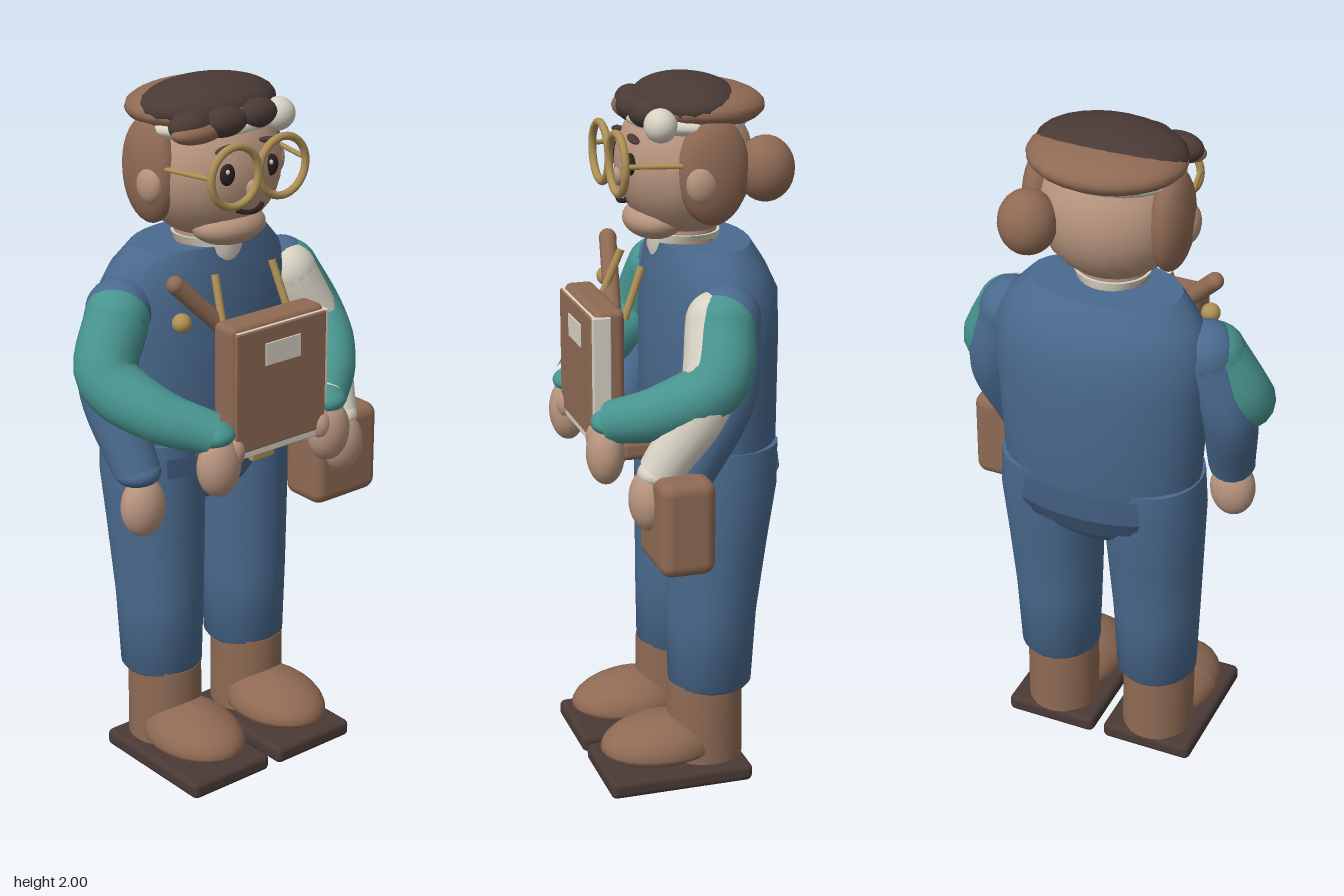
import * as THREE from 'three';
import { toCreasedNormals } from 'three/addons/utils/BufferGeometryUtils.js';
import { RoundedBoxGeometry } from 'three/addons/geometries/RoundedBoxGeometry.js';

const material = (name, color) => {
  const m = new THREE.MeshStandardMaterial({ color });
  m.name = name;
  return m;
};

export function createModel() {
  const model = new THREE.Group();
  model.name = 'figure';
  model.position.x = -0.007;

  const blue = material('denim blue', 0x4a6a8e);
  const navy = material('dark denim', 0x3f5a7a);
  const teal = material('teal', 0x48948f);
  const brown = material('leather brown', 0x8f6a54);
  const dark = material('dark brown', 0x4a3a36);
  const skin = material('skin', 0xb8957f);
  const cream = material('cream', 0xd8d2c4);
  const gold = material('brass', 0xae9055);
  const black = material('near black', 0x2c2220);
  navy.side = THREE.DoubleSide;

  const add = (name, geometry, mat, x = 0, y = 0, z = 0) => {
    const mesh = new THREE.Mesh(geometry, mat);
    mesh.name = name;
    mesh.position.set(x, y, z);
    model.add(mesh);
    return mesh;
  };
  const ball = (name, mat, [x, y, z], [rx, ry, rz]) =>
    add(name, new THREE.SphereGeometry(1, 24, 16).scale(rx, ry, rz), mat, x, y, z);
  const box = (name, mat, [x, y, z], [w, h, d], r = 0.01) =>
    add(name, new RoundedBoxGeometry(w, h, d, 3, r), mat, x, y, z);
  const vec = (p) => new THREE.Vector3(...p);

  // Stack of elliptical sections: [y, centre z, radius x, radius z]
  const loft = (name, mat, sections, x = 0) => {
    const n = sections.length - 1;
    const g = new THREE.CylinderGeometry(1, 1, 1, 28, n);
    const p = g.attributes.position;
    for (let i = 0; i < p.count; i++) {
      const [y, cz, rx, rz] = sections[Math.round((p.getY(i) + 0.5) * n)];
      p.setXYZ(i, p.getX(i) * rx, y, cz + p.getZ(i) * rz);
    }
    return add(name, toCreasedNormals(g, 0.7), mat, x);
  };

  // Tapered, bent tube with rounded ends
  const limb = (name, mat, points, r0, r1, r2) => {
    const curve = new THREE.CatmullRomCurve3(points.map(vec));
    const n = 20, sides = 16;
    const g = new THREE.TubeGeometry(curve, n, 1, sides);
    const p = g.attributes.position, v = new THREE.Vector3();
    for (let i = 0; i < p.count; i++) {
      const t = Math.floor(i / (sides + 1)) / n;
      const r = t < 0.5 ? r0 + (r1 - r0) * t * 2 : r1 + (r2 - r1) * (t * 2 - 1);
      const c = curve.getPointAt(t);
      v.fromBufferAttribute(p, i).sub(c).multiplyScalar(r).add(c);
      p.setXYZ(i, v.x, v.y, v.z);
    }
    add(name, g, mat);
    ball(name + 'Top', mat, points[0], [r0, r0, r0]);
    ball(name + 'End', mat, points[points.length - 1], [r2, r2 * 0.6, r2]);
  };
  const rod = (name, mat, a, b, r) =>
    add(name, new THREE.TubeGeometry(new THREE.LineCurve3(vec(a), vec(b)), 1, r, 10), mat);

  // Shoes, boots and trouser legs
  for (const s of [-1, 1]) {
    const x = s * 0.155;
    box('sole', dark, [x, 0.031, 0.05], [0.278, 0.052, 0.42], 0.018);
    // The lower half of the shoe is flattened onto the sole
    const shoe = new THREE.SphereGeometry(1, 24, 16).scale(0.13, 0.09, 0.172);
    const p = shoe.attributes.position;
    for (let i = 0; i < p.count; i++) {
      const lift = p.getY(i) > 0 ? 1 - p.getZ(i) * 0.8 : 0.5;
      p.setY(i, p.getY(i) * lift);
    }
    shoe.computeVertexNormals();
    add('shoe', shoe, brown, x, 0.098, 0.08);
    loft('boot', brown, [[0.055, -0.055, 0.105, 0.11], [0.29, -0.055, 0.105, 0.108]], x);
    loft('trouserLeg', blue, [
      [0.275, -0.07, 0.108, 0.112], [0.285, -0.07, 0.116, 0.12], [0.5, -0.075, 0.126, 0.128],
      [0.72, -0.09, 0.138, 0.143], [0.88, -0.102, 0.147, 0.156], [1.0, -0.105, 0.14, 0.155],
    ], x);
  }

  // Hips and torso
  ball('hips', blue, [0, 0.95, -0.11], [0.29, 0.2, 0.175]);
  loft('torso', blue, [
    [0.94, -0.11, 0.28, 0.165], [1.0, -0.11, 0.29, 0.18], [1.3, -0.11, 0.308, 0.18],
    [1.42, -0.11, 0.305, 0.176], [1.49, -0.098, 0.275, 0.155], [1.55, -0.083, 0.217, 0.132],
  ]);
  const band = (name, y, h, start, length, rx, rz, taper) =>
    add(name, new THREE.CylinderGeometry(1, taper, h, 16, 1, true, start, length).scale(rx, 1, rz), navy, 0, y, -0.105);
  band('waistFlap', 0.938, 0.06, -0.7, 1.4, 0.34, 0.198, 0.98);
  band('backFlapUpper', 0.945, 0.07, Math.PI - 0.6, 1.2, 0.3, 0.184, 1.05);
  band('backFlapLower', 0.885, 0.05, Math.PI - 0.6, 1.2, 0.315, 0.193, 0.9);

  // Neck and collar
  loft('neck', skin, [[1.5, -0.04, 0.1, 0.09], [1.64, -0.04, 0.1, 0.09]]);
  loft('collar', cream, [[1.49, -0.035, 0.07, 0.085], [1.53, -0.035, 0.085, 0.098], [1.575, -0.04, 0.108, 0.098]]);

  // Hanging sleeves and folded sleeves sharing the same shoulders
  for (const s of [-1, 1]) {
    limb('hangingSleeve', blue, [[s * 0.288, 1.39, -0.07], [s * 0.347, 1.2, -0.052], [s * 0.325, 0.965, 0.05]], 0.092, 0.078, 0.066);
    limb('foldedSleeve', teal, [[s * 0.302, 1.383, -0.058], [s * 0.374, 1.24, -0.015], [s * 0.315, 1.155, 0.115], [s * 0.2, 1.1, 0.225]], 0.09, 0.084, 0.06);
    ball('foldedHand', skin, [s * 0.197, 1.013, 0.245], [0.066, 0.088, 0.052]);
    ball('thumb', skin, [s * 0.155, 1.045, 0.262], [0.03, 0.04, 0.025]);
  }
  ball('hangingHand', skin, [-0.322, 0.868, 0.07], [0.066, 0.088, 0.055]);
  limb('creamSleeve', cream, [[0.29, 1.385, -0.04], [0.365, 1.2, 0.01], [0.33, 0.99, 0.13]], 0.084, 0.08, 0.062);
  ball('bagHand', skin, [0.325, 0.914, 0.16], [0.068, 0.087, 0.055]);
  box('sideBag', brown, [0.352, 0.865, 0.088], [0.235, 0.27, 0.155], 0.035);

  // Book with label
  box('bookBack', brown, [0.0, 1.218, 0.218], [0.328, 0.365, 0.085], 0.02);
  box('pages', cream, [0.01, 1.203, 0.243], [0.322, 0.365, 0.052], 0.004);
  box('bookCover', brown, [0.0, 1.212, 0.267], [0.318, 0.345, 0.012], 0.005);
  box('label', cream, [0.003, 1.308, 0.2735], [0.125, 0.065, 0.005], 0.002);

  // Belt pouch, buckle, straps and baton
  box('beltPouch', brown, [0.01, 0.995, 0.12], [0.3, 0.06, 0.13], 0.02);
  box('buckle', gold, [0, 0.992, 0.19], [0.08, 0.055, 0.02], 0.005);
  for (const s of [-1, 1]) rod('strap', gold, [s * 0.1, 1.5, 0.11], [s * 0.115, 1.36, 0.165], 0.011);
  rod('baton', brown, [-0.235, 1.5, 0.11], [-0.02, 1.28, 0.155], 0.025);
  ball('batonEnd', brown, [-0.235, 1.5, 0.11], [0.025, 0.025, 0.025]);
  ball('button', gold, [-0.222, 1.392, 0.12], [0.027, 0.027, 0.027]);

  // Head, ears and chin
  ball('head', skin, [0, 1.76, -0.04], [0.207, 0.2, 0.19]);
  ball('chin', skin, [0, 1.608, 0.045], [0.112, 0.055, 0.085]);
  ball('nose', skin, [0, 1.73, 0.145], [0.022, 0.026, 0.022]);
  for (const s of [-1, 1]) {
    ball('ear', skin, [s * 0.212, 1.742, -0.025], [0.03, 0.055, 0.045]);
    ball('sideHair', brown, [s * 0.18, 1.768, -0.065], [0.056, 0.148, 0.1]);
    ball('eye', black, [s * 0.075, 1.777, 0.132], [0.024, 0.03, 0.014]);
    ball('eyeGlint', cream, [s * 0.075 - 0.008, 1.788, 0.143], [0.006, 0.007, 0.005]);
    const brow = ball('eyebrow', dark, [s * 0.075, 1.845, 0.125], [0.036, 0.009, 0.014]);
    brow.rotation.z = -s * 0.15;
    // Spectacles
    add('lensRim', new THREE.TorusGeometry(0.081, 0.011, 10, 32), gold, s * 0.082, 1.782, 0.172);
    rod('temple', gold, [s * 0.162, 1.79, 0.172], [s * 0.205, 1.79, -0.02], 0.007);
  }
  const smile = new THREE.QuadraticBezierCurve3(vec([-0.045, 1.675, 0.132]), vec([0, 1.652, 0.155]), vec([0.045, 1.675, 0.132]));
  add('mouth', new THREE.TubeGeometry(smile, 12, 0.007, 8), black);

  // Hair: dark crown over a brown rim, headband, fringe and bun
  ball('headband', cream, [0, 1.885, -0.045], [0.203, 0.05, 0.165]);
  ball('hairRim', brown, [0, 1.92, -0.075], [0.217, 0.062, 0.183]);
  ball('hairCrown', dark, [0, 1.93, -0.045], [0.21, 0.07, 0.145]);
  for (const [x, y, z] of [[-0.14, 1.908, 0.065], [-0.05, 1.908, 0.088], [0.055, 1.912, 0.085]])
    ball('fringe', dark, [x, y, z], [0.072, 0.042, 0.045]);
  ball('fringeUnderside', brown, [-0.13, 1.892, 0.078], [0.085, 0.032, 0.042]);
  ball('creamCurl', cream, [0.15, 1.892, 0.072], [0.05, 0.046, 0.045]);
  ball('bun', brown, [0.162, 1.762, -0.218], [0.08, 0.09, 0.08]);

  return model;
}
